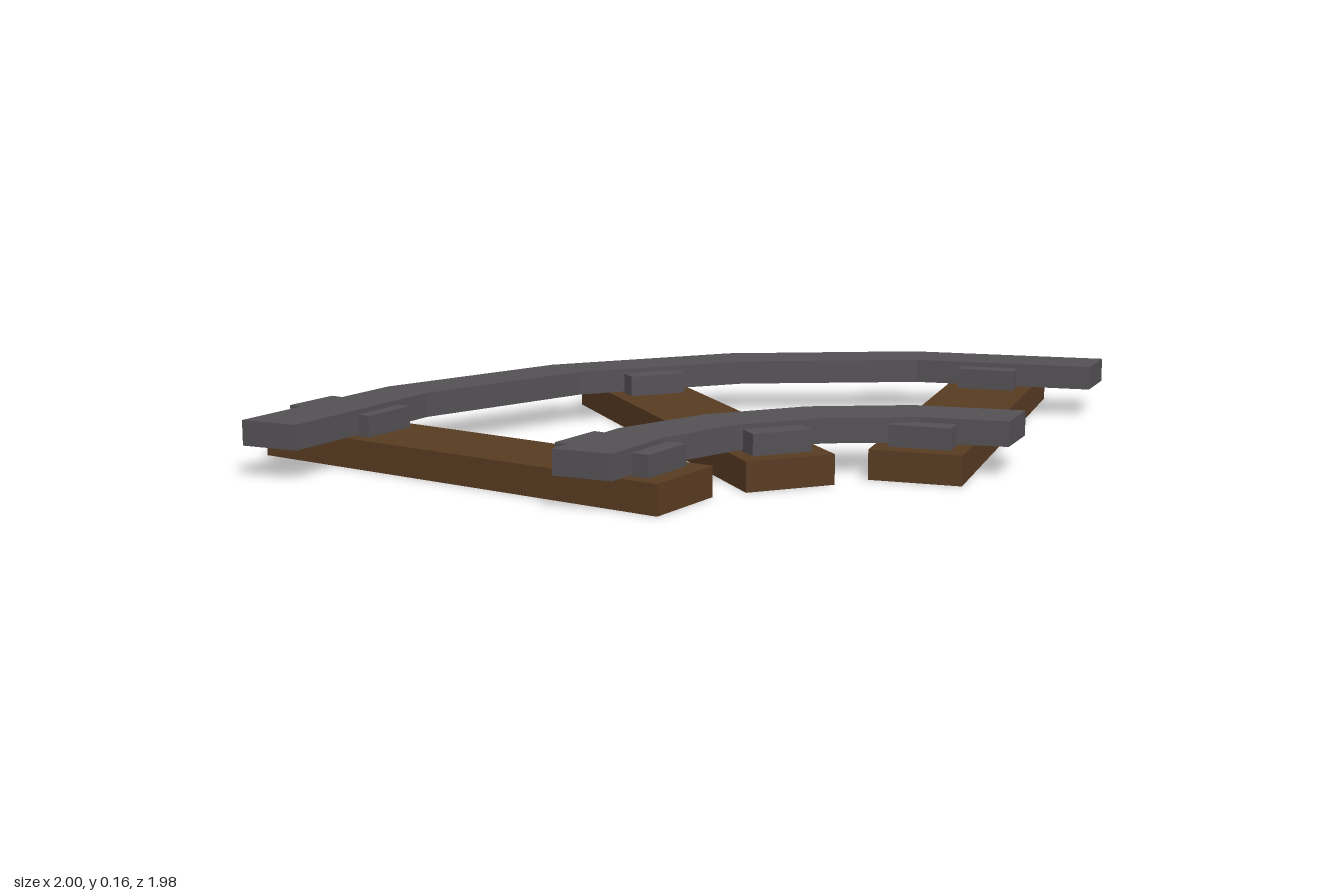
import * as THREE from 'three';

const wood = new THREE.MeshStandardMaterial({ color: 0x583b22, side: THREE.DoubleSide });
wood.name = 'brown wood';
const steel = new THREE.MeshStandardMaterial({ color: 0x545055 });
steel.name = 'grey steel';

// Box shell without its underside
function openBox(w, h, d) {
  const g = new THREE.BoxGeometry(w, h, d);
  const idx = Array.from(g.index.array);
  idx.splice(18, 6);
  g.setIndex(idx);
  g.clearGroups();
  return g;
}

// Faceted rail: plan outline (x, z) raised between two heights
function makeRail(name, outer, inner) {
  const outline = [...outer, ...[...inner].reverse()].map(([x, z]) => new THREE.Vector2(x, z));
  const g = new THREE.ExtrudeGeometry(new THREE.Shape(outline), { depth: 0.07, bevelEnabled: false });
  g.rotateX(Math.PI / 2).translate(0, 0.157, 0);
  const mesh = new THREE.Mesh(g, steel);
  mesh.name = name;
  return mesh;
}

// Sleeper with a fixing plate under each rail
function makeSleeper(name, x, z, degrees) {
  const group = new THREE.Group();
  group.name = name;
  const beam = new THREE.Mesh(openBox(1.33, 0.083, 0.255), wood);
  beam.name = 'beam';
  beam.position.y = 0.0415;
  group.add(beam);
  for (const side of [-1, 1]) {
    const plate = new THREE.Mesh(new THREE.BoxGeometry(0.292, 0.06, 0.172), steel);
    plate.name = side < 0 ? 'outerPlate' : 'innerPlate';
    plate.position.set(side * 0.465, 0.113, 0);
    group.add(plate);
  }
  group.position.set(x, 0, z);
  group.rotation.y = -THREE.MathUtils.degToRad(degrees);
  return group;
}

export function createModel() {
  const model = new THREE.Group();
  model.name = 'curvedTrack';

  // Rails
  model.add(makeRail('outerRail',
    [[-0.893, 0.99], [-0.797, 0.4], [-0.529, -0.124], [-0.112, -0.538], [0.415, -0.808], [1, -0.902]],
    [[-0.724, 0.99], [-0.642, 0.447], [-0.396, -0.043], [-0.016, -0.41], [0.474, -0.655], [1, -0.735]]));
  model.add(makeRail('innerRail',
    [[0.037, 0.99], [0.08, 0.69], [0.214, 0.425], [0.428, 0.208], [0.695, 0.072], [1, 0.027]],
    [[0.204, 0.99], [0.238, 0.757], [0.35, 0.525], [0.53, 0.345], [0.762, 0.233], [1, 0.195]]));

  // Sleepers fanned around the bend
  model.add(makeSleeper('frontSleeper', -0.321, 0.717, 10));
  model.add(makeSleeper('middleSleeper', 0.037, 0.067, 45));
  model.add(makeSleeper('backSleeper', 0.728, -0.318, 85));
  return model;
}
